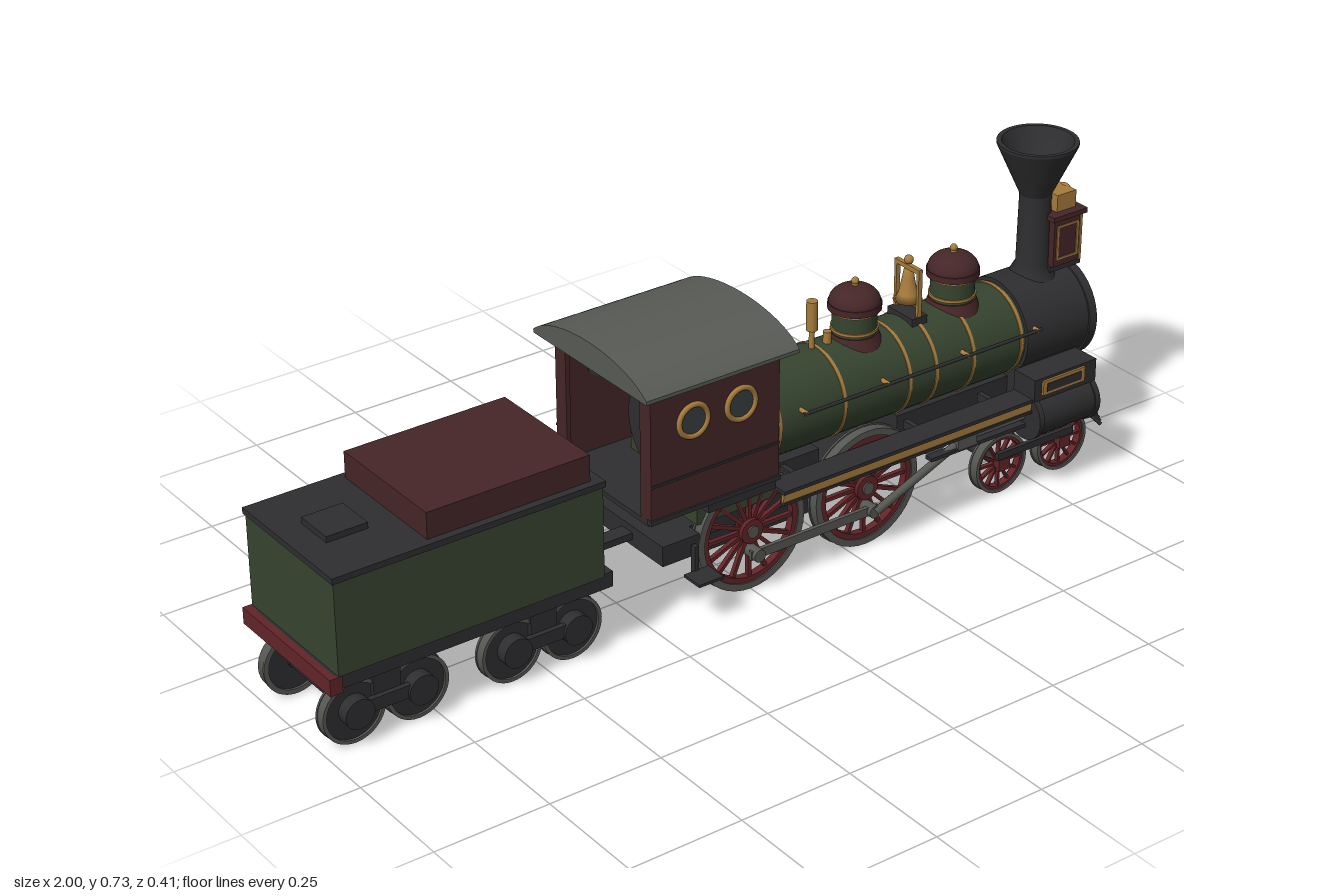
import * as THREE from 'three';

const mat = (name, color, side = THREE.FrontSide) => {
  const m = new THREE.MeshStandardMaterial({ color, side });
  m.name = name;
  return m;
};

export function createModel() {
  const model = new THREE.Group();
  model.name = 'steamLocomotive';
  const green = mat('boilerGreen', 0x36442f), maroon = mat('cabMaroon', 0x462628), red = mat('wheelRed', 0x622428);
  const black = mat('ironBlack', 0x2e2e30), brass = mat('brass', 0xa67b3c), steel = mat('steelGrey', 0x555752);
  const roofGrey = mat('roofGrey', 0x585b55), glass = mat('darkGlass', 0x3a3e3e), cream = mat('lampCream', 0xe0d4b8);

  const add = (name, geo, m, parent = model) => {
    const mesh = new THREE.Mesh(geo, m);
    mesh.name = name;
    parent.add(mesh);
    return mesh;
  };
  const box = (name, m, x0, x1, y0, y1, z0, z1, parent = model) =>
    add(name, new THREE.BoxGeometry(x1 - x0, y1 - y0, Math.abs(z1 - z0))
      .translate((x0 + x1) / 2, (y0 + y1) / 2, (z0 + z1) / 2), m, parent);
  const sideBox = (name, m, x0, x1, y0, y1, z0, z1) => {
    for (const s of [1, -1]) box(name, m, x0, x1, y0, y1, s * z0, s * z1);
  };
  const cylX = (name, m, x0, x1, r, y, z = 0, r2 = r, seg = 40) =>
    add(name, new THREE.CylinderGeometry(r2, r, x1 - x0, seg).rotateZ(-Math.PI / 2).translate((x0 + x1) / 2, y, z), m);
  const cylY = (name, m, x, y0, y1, r, r2 = r, z = 0) =>
    add(name, new THREE.CylinderGeometry(r2, r, y1 - y0, 32).translate(x, (y0 + y1) / 2, z), m);
  const cylZ = (name, m, x, y, z0, z1, r, parent = model, seg = 24) =>
    add(name, new THREE.CylinderGeometry(r, r, Math.abs(z1 - z0), seg).rotateX(Math.PI / 2).translate(x, y, (z0 + z1) / 2), m, parent);
  const ball = (name, m, x, y, z, r, sx = 1) =>
    add(name, new THREE.SphereGeometry(r, 24, 16).scale(sx, 1, 1).translate(x, y, z), m);
  const rod = (name, m, a, b, r, seg = 8) =>
    add(name, new THREE.TubeGeometry(new THREE.LineCurve3(new THREE.Vector3(...a), new THREE.Vector3(...b)), 1, r, seg), m);
  const ring = (r0, r1, z0, z1) => new THREE.LatheGeometry(
    [[r0, z0], [r1, z0], [r1, z0], [r1, z1], [r1, z1], [r0, z1], [r0, z1], [r0, z0]].map(p => new THREE.Vector2(...p)), 40)
    .rotateX(Math.PI / 2);

  // Wheel with tyre, flange and either spokes or a solid disc; outer face looks along local +z
  function wheel(name, x, r, s, spokes, webMat) {
    const w = new THREE.Group();
    w.name = name;
    add('tyre', ring(r * 0.87, r * 0.98, -0.01, 0.012), steel, w);
    add('flange', ring(r * 0.85, r, -0.013, -0.008), steel, w);
    if (spokes) {
      add('rim', ring(r * 0.78, r * 0.88, -0.008, 0.009), webMat, w);
      for (let i = 0; i < spokes; i++) {
        add('spoke', new THREE.BoxGeometry(r * 0.7, r * 0.055 + 0.001, 0.01).translate(r * 0.46, 0, 0)
          .rotateZ(i / spokes * Math.PI * 2), webMat, w);
      }
    } else cylZ('disc', webMat, 0, 0, -0.007, 0.007, r * 0.9, w, 32);
    cylZ('hub', webMat, 0, 0, -0.012, 0.014, r * 0.2, w);
    cylZ('hubCap', steel, 0, 0, 0.014, 0.018, r * 0.1, w);
    w.position.set(x, r, s * 0.108);
    if (s < 0) w.rotation.y = Math.PI;
    model.add(w);
    return w;
  }
  const axle = (x, r) => cylZ('axle', black, x, r, -0.1, 0.1, 0.012);

  // Boiler, firebox and brass bands
  cylX('boiler', green, 0.03, 0.74, 0.1, 0.325);
  cylX('fireboxTop', green, -0.13, 0.06, 0.113, 0.355);
  box('fireboxSides', green, -0.13, 0.06, 0.19, 0.355, -0.112, 0.112);
  cylX('backhead', black, -0.14, -0.13, 0.105, 0.355);
  box('ashPan', black, -0.11, 0.2, 0.1, 0.24, -0.08, 0.08);
  for (const x of [0.085, 0.25, 0.42, 0.49, 0.59, 0.72]) cylX('boilerBand', brass, x - 0.004, x + 0.004, 0.102, 0.325);

  // Smokebox with door, bolts and saddle
  cylX('smokebox', black, 0.73, 0.915, 0.108, 0.325);
  cylX('smokeboxRing', black, 0.9, 0.92, 0.112, 0.325);
  cylX('smokeboxDoor', black, 0.92, 0.93, 0.096, 0.325, 0, 0.088);
  cylX('doorBoss', brass, 0.925, 0.936, 0.029, 0.342);
  ball('doorKnob', brass, 0.935, 0.342, 0, 0.026, 0.3);
  for (let i = 0; i < 4; i++) {
    const a = Math.PI / 4 + i * Math.PI / 2;
    cylX('doorBolt', steel, 0.927, 0.934, 0.005, 0.325 + 0.075 * Math.sin(a), 0.075 * Math.cos(a), 0.005, 10);
  }
  box('smokeboxSaddle', black, 0.72, 0.88, 0.14, 0.27, -0.095, 0.095);

  // Funnel chimney
  const funnel = [[0.052, 0.42], [0.036, 0.45], [0.034, 0.607], [0.034, 0.607], [0.086, 0.72], [0.086, 0.72],
    [0.086, 0.726], [0.086, 0.726], [0.076, 0.726], [0.076, 0.726], [0.03, 0.63], [0, 0.63]];
  add('chimney', new THREE.LatheGeometry(funnel.map(p => new THREE.Vector2(...p)), 40).translate(0.83, 0, 0), black);

  // Headlamp
  box('lampBracket', black, 0.84, 0.925, 0.435, 0.447, -0.045, 0.045);
  box('lampCase', maroon, 0.845, 0.918, 0.447, 0.555, -0.048, 0.048);
  box('lampRoof', maroon, 0.835, 0.928, 0.555, 0.566, -0.056, 0.056);
  box('lampCrown', brass, 0.86, 0.912, 0.566, 0.604, -0.036, 0.036);
  ball('lampBall', brass, 0.912, 0.587, 0, 0.02, 0.6);
  for (const s of [1, -1]) {
    box('lampCorner', brass, 0.915, 0.921, 0.447, 0.555, s * 0.043, s * 0.05);
    for (const x of [0.852, 0.906]) box('lampSideTrim', brass, x, x + 0.005, 0.462, 0.54, s * 0.048, s * 0.05);
    for (const y of [0.462, 0.536]) box('lampSideTrim', brass, 0.852, 0.911, y, y + 0.004, s * 0.048, s * 0.05);
  }
  cylX('lampRim', brass, 0.915, 0.921, 0.038, 0.499);
  ball('lampLens', cream, 0.92, 0.499, 0, 0.035, 0.35);

  // Sand and steam domes
  for (const x of [0.35, 0.61]) {
    cylY('domeSkirt', maroon, x, 0.405, 0.432, 0.06, 0.05);
    cylY('domeBody', green, x, 0.43, 0.485, 0.047);
    for (const y of [0.438, 0.478]) cylY('domeBand', brass, x, y, y + 0.006, 0.05);
    cylY('domeLip', maroon, x, 0.484, 0.498, 0.056);
    add('domeCap', new THREE.SphereGeometry(0.054, 32, 10, 0, Math.PI * 2, 0, Math.PI / 2).scale(1, 0.68, 1).translate(x, 0.498, 0), maroon);
    cylY('domeFinial', brass, x, 0.53, 0.54, 0.008, 0.006);
    ball('finialBall', brass, x, 0.543, 0, 0.008);
  }

  // Bell in its yoke
  const bell = [[0, 0.53], [0.01, 0.528], [0.014, 0.505], [0.02, 0.475], [0.031, 0.46], [0, 0.462]].reverse();
  add('bell', new THREE.LatheGeometry(bell.map(p => new THREE.Vector2(...p)), 24).translate(0.49, 0, 0), brass);
  box('bellBase', black, 0.47, 0.51, 0.415, 0.434, -0.04, 0.04);
  sideBox('bellPost', brass, 0.485, 0.495, 0.43, 0.535, 0.032, 0.039);
  box('bellYoke', brass, 0.485, 0.495, 0.53, 0.54, -0.039, 0.039);
  ball('bellFinial', brass, 0.49, 0.55, 0, 0.01);

  // Whistle and safety valve
  cylY('whistleStem', brass, 0.24, 0.42, 0.47, 0.006);
  cylY('whistle', brass, 0.24, 0.465, 0.53, 0.012);
  cylY('safetyValve', brass, 0.28, 0.42, 0.45, 0.009);

  // Cab, open at the rear
  sideBox('cabSide', maroon, -0.275, 0.035, 0.265, 0.55, 0.15, 0.16);
  box('cabFront', maroon, 0.025, 0.035, 0.265, 0.55, -0.15, 0.15);
  sideBox('cabRearPost', maroon, -0.275, -0.265, 0.265, 0.55, 0.125, 0.15);
  sideBox('cabWaistStrip', black, -0.275, 0.035, 0.343, 0.348, 0.16, 0.163);
  sideBox('cabSill', black, -0.278, 0.038, 0.262, 0.272, 0.15, 0.164);
  box('cabFloor', black, -0.275, 0.03, 0.255, 0.266, -0.15, 0.15);
  for (const s of [1, -1]) {
    for (const x of [-0.175, -0.06]) {
      cylZ('portholeGlass', glass, x, 0.462, s * 0.148, s * 0.163, 0.032);
      add('portholeFrame', new THREE.TorusGeometry(0.034, 0.006, 8, 32).translate(x, 0.462, s * 0.162), brass);
    }
    box('cabWindowFrame', brass, 0.035, 0.038, 0.433, 0.522, s * 0.034, s * 0.128);
    box('cabWindowGlass', glass, 0.036, 0.04, 0.44, 0.515, s * 0.041, s * 0.121);
    box('cabWindowInside', glass, 0.021, 0.025, 0.44, 0.515, s * 0.041, s * 0.121);
  }
  const arch = new THREE.Shape();
  arch.moveTo(-0.19, 0.547);
  arch.lineTo(0.19, 0.547);
  arch.lineTo(0.19, 0.555);
  arch.bezierCurveTo(0.15, 0.59, 0.07, 0.604, 0, 0.604);
  arch.bezierCurveTo(-0.07, 0.604, -0.15, 0.59, -0.19, 0.555);
  add('cabRoof', new THREE.ExtrudeGeometry(arch, { depth: 0.365, bevelEnabled: false, curveSegments: 16 })
    .rotateY(Math.PI / 2).translate(-0.305, 0, 0), roofGrey);

  // Frame, running boards and handrails
  box('mainFrame', black, -0.2, 0.87, 0.14, 0.175, -0.085, 0.085);
  box('rearBuffer', black, -0.22, -0.13, 0.13, 0.175, -0.12, 0.12);
  box('boilerCradle', black, 0.42, 0.74, 0.17, 0.235, -0.06, 0.06);
  sideBox('runningBoard', black, 0.035, 0.69, 0.232, 0.24, 0.122, 0.18);
  sideBox('boardValance', brass, 0.035, 0.69, 0.214, 0.23, 0.17, 0.177);
  sideBox('boardEdge', black, 0.035, 0.69, 0.208, 0.214, 0.165, 0.18);
  sideBox('cabBoard', black, -0.13, 0.035, 0.235, 0.262, 0.122, 0.15);
  for (const s of [1, -1]) {
    rod('handrail', black, [0.13, 0.355, s * 0.115], [0.76, 0.355, s * 0.115], 0.004);
    for (const x of [0.14, 0.35, 0.56, 0.75]) cylZ('railPost', brass, x, 0.355, s * 0.092, s * 0.118, 0.005);
    for (const x of [0.1, 0.42, 0.62]) box('boardBracket', black, x, x + 0.012, 0.215, 0.234, s * 0.08, s * 0.165);
    box('cabStep', black, -0.18, -0.12, 0.1, 0.106, s * 0.135, s * 0.187);
    box('stepHanger', black, -0.155, -0.145, 0.1, 0.16, s * 0.125, s * 0.138);

    // Cylinder and valve chest
    cylX('cylinder', black, 0.69, 0.85, 0.051, 0.192, s * 0.153);
    for (const x of [0.685, 0.84]) cylX('cylinderCover', black, x, x + 0.013, 0.054, 0.192, s * 0.153);
    box('valveChest', black, 0.685, 0.855, 0.235, 0.286, s * 0.12, s * 0.185);
    box('chestPlate', brass, 0.705, 0.82, 0.247, 0.28, s * 0.185, s * 0.19);
    box('platePanel', black, 0.715, 0.81, 0.254, 0.273, s * 0.19, s * 0.1915);

    // Piston rod, guides and driving rods
    for (const y of [0.168, 0.204]) box('crossheadGuide', black, 0.43, 0.69, y, y + 0.008, s * 0.142, s * 0.162);
    box('crosshead', steel, 0.5, 0.55, 0.174, 0.206, s * 0.14, s * 0.164);
    rod('pistonRod', steel, [0.53, 0.19, s * 0.153], [0.7, 0.19, s * 0.153], 0.007);
    rod('mainRod', steel, [0.295, 0.09, s * 0.148], [0.53, 0.19, s * 0.15], 0.009);
    box('sideRod', steel, -0.015, 0.31, 0.08, 0.1, s * 0.13, s * 0.139);
    for (const x of [0, 0.295]) {
      const w = wheel('drivingWheel', x, 0.135, s, 16, red);
      cylZ('crankPin', steel, 0, -0.045, 0, 0.04, 0.014, w);
      const weight = new THREE.Shape();
      weight.absarc(0, 0, 0.108, 0.9, Math.PI - 0.9);
      add('counterweight', new THREE.ExtrudeGeometry(weight, { depth: 0.014, bevelEnabled: false }).translate(0, 0, -0.006), red, w);
    }
    for (const x of [0.66, 0.83]) wheel('pilotWheel', x, 0.07, s, 12, red);
    box('pilotTruckBar', black, 0.64, 0.85, 0.088, 0.104, s * 0.122, s * 0.132);
    for (const x of [0.66, 0.83]) box('pilotJournal', red, x - 0.015, x + 0.015, 0.058, 0.085, s * 0.12, s * 0.13);
  }
  for (const x of [0, 0.295]) axle(x, 0.135);
  for (const x of [0.66, 0.83]) axle(x, 0.07);
  box('pilotTruck', black, 0.65, 0.84, 0.09, 0.14, -0.06, 0.06);

  // Front beam, coupler and slatted pilot
  box('frontBeam', red, 0.865, 0.9, 0.136, 0.18, -0.141, 0.141);
  box('couplerPlate', steel, 0.9, 0.905, 0.15, 0.17, -0.01, 0.01);
  box('couplerBar', black, 0.9, 0.955, 0.155, 0.168, -0.007, 0.007);
  box('pilotTop', black, 0.87, 0.905, 0.122, 0.138, -0.07, 0.07);
  for (let i = -8; i <= 8; i++) {
    const t = i / 8;
    rod('pilotSlat', black, [0.89, 0.138, t * 0.065], [0.994 - 0.045 * t * t, 0.062 + 0.006 * t * t, t * 0.112], 0.0045, 6);
  }

  // Tender body, coal load and frame
  box('tenderBody', green, -0.98, -0.385, 0.185, 0.388, -0.158, 0.158);
  box('tenderDeck', black, -0.984, -0.381, 0.385, 0.398, -0.162, 0.162);
  box('tenderCoalBox', maroon, -0.77, -0.405, 0.395, 0.455, -0.145, 0.145);
  box('waterHatch', black, -0.925, -0.835, 0.398, 0.411, -0.045, 0.045);
  box('tenderFrame', black, -0.985, -0.36, 0.152, 0.186, -0.15, 0.15);
  box('tenderRearBeam', red, -1, -0.973, 0.15, 0.186, -0.16, 0.16);
  box('tenderFrontStep', black, -0.385, -0.36, 0.15, 0.26, -0.11, 0.11);
  box('drawbar', black, -0.37, -0.2, 0.145, 0.16, -0.018, 0.018);

  // Tender trucks
  for (const cx of [-0.859, -0.506]) {
    box('truckBolster', black, cx - 0.03, cx + 0.03, 0.08, 0.155, -0.125, 0.125);
    for (const dx of [-0.07, 0.07]) {
      axle(cx + dx, 0.07);
      for (const s of [1, -1]) {
        wheel('tenderWheel', cx + dx, 0.07, s, 0, black);
        cylZ('journalBox', black, cx + dx, 0.075, s * 0.115, s * 0.142, 0.032);
      }
    }
    sideBox('truckSideFrame', black, cx - 0.09, cx + 0.09, 0.066, 0.094, 0.124, 0.136);
  }
  return model;
}
